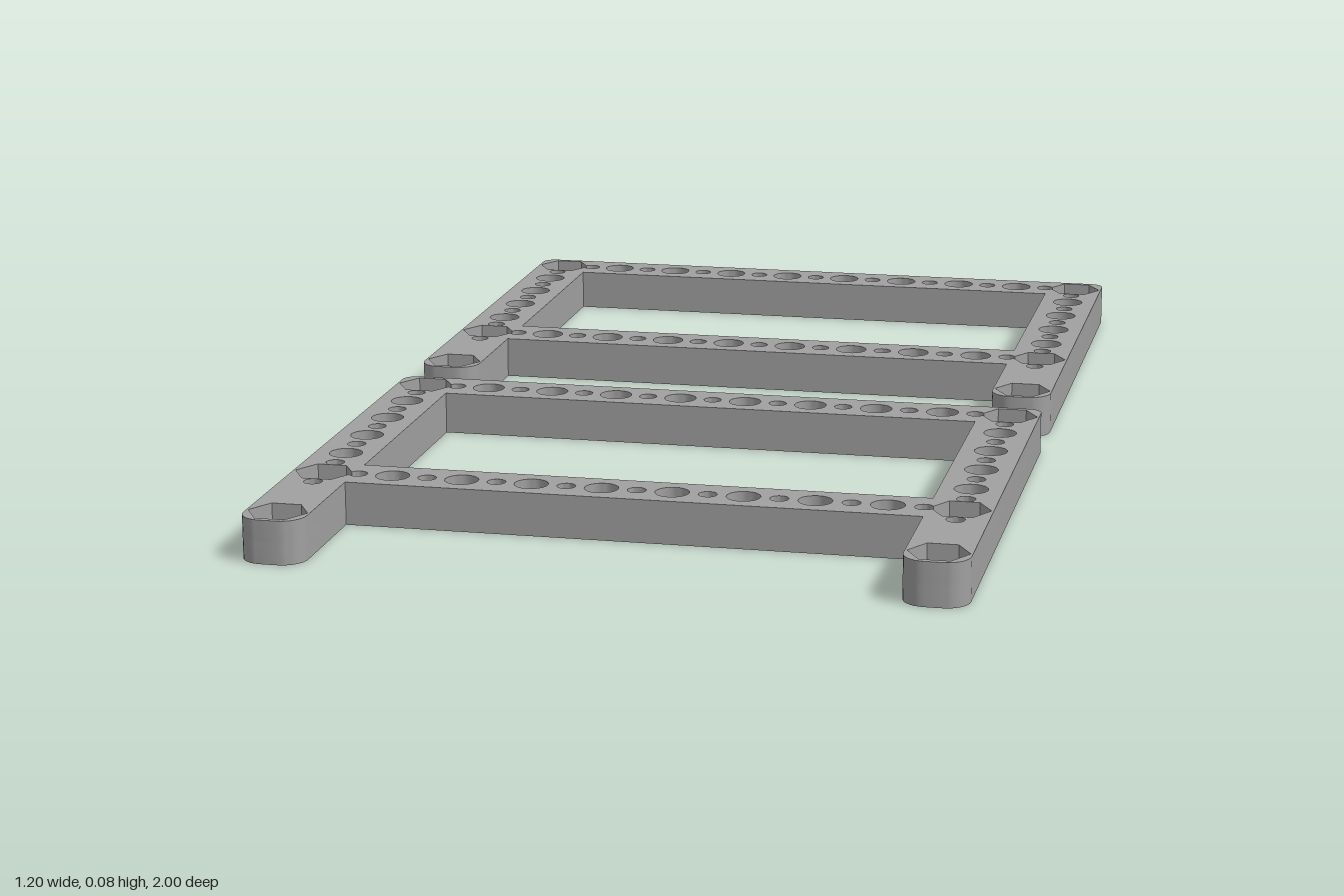
import * as THREE from 'three';
import { toCreasedNormals } from 'three/addons/utils/BufferGeometryUtils.js';

const S = 0.1215;            // hole pitch
const W = 0.0545;            // half width of a beam
const H = 0.075;             // plate height
const FLOOR = 0.038;         // height of the nut pocket floor
const BIG = 0.029, SMALL = 0.016, HEX = 0.051;
const X = 4.5 * S;           // side beam centre line
const Z0 = -1 + W;           // rear beam centre line
const row = (k) => Z0 + k * S;

// Closed polygon with rounded corners; each corner is [x, z, radius]
function roundedPath(corners) {
  const path = new THREE.Shape();
  const n = corners.length;
  corners.forEach(([x, z, r], i) => {
    const p = new THREE.Vector2(x, z);
    const step = (c) => new THREE.Vector2(c[0], c[1]).sub(p).setLength(r).add(p);
    const a = step(corners[(i + n - 1) % n]);
    const b = step(corners[(i + 1) % n]);
    if (i === 0) path.moveTo(a.x, a.y); else path.lineTo(a.x, a.y);
    if (r > 0) {
      // circular corner sampled around its centre
      const c = a.clone().add(b).sub(p);
      for (let k = 1; k <= 8; k++) {
        const t = (k / 8) * Math.PI / 2;
        path.lineTo(c.x + (a.x - c.x) * Math.cos(t) + (b.x - c.x) * Math.sin(t),
          c.y + (a.y - c.y) * Math.cos(t) + (b.y - c.y) * Math.sin(t));
      }
    }
  });
  path.closePath();
  return path;
}

function circle(x, z, r) {
  const path = new THREE.Path();
  path.absarc(x, z, r, 0, Math.PI * 2);
  return path;
}

// Hexagonal pocket; with a side it opens into the neighbouring small hole there
function pocket(x, z, side) {
  const dir = side || 1;
  const pts = [];
  for (let i = 1; i < 6; i++) {
    const a = i * Math.PI / 3;
    pts.push([HEX * Math.cos(a), HEX * Math.sin(a)]);
  }
  if (side) {
    // intersection of the hexagon edges with the small hole
    const c = S / 2, g = c - HEX;
    const t = (-2 * g + Math.sqrt(4 * g * g - 16 * (g * g - SMALL * SMALL))) / 8;
    const start = Math.atan2(-t * Math.sqrt(3), HEX - t - c);
    const sweep = -2 * start;
    for (let i = 0; i <= 20; i++) {
      const a = start + sweep * i / 20;
      pts.push([c + SMALL * Math.cos(a), SMALL * Math.sin(a)]);
    }
  } else pts.push([HEX, 0]);
  return new THREE.Path(pts.map(([px, pz]) => new THREE.Vector2(x + dir * px, z + pz)));
}

// One layer of the frame: the upper one has nut pockets, the lower one bolt holes
function layer(bottom, top, pockets) {
  const o = X + W, inner = X - W, end = row(7) + W, bar = row(5) + W, r = 0.025, R = 0.04;
  const shape = roundedPath([
    [-o, -1, r], [o, -1, r], [o, end, R], [inner, end, R], [inner, bar, 0],
    [-inner, bar, 0], [-inner, end, R], [-o, end, R],
  ]);
  const holes = shape.holes;
  holes.push(roundedPath([
    [-inner, row(0) + W, 0], [inner, row(0) + W, 0], [inner, row(5) - W, 0], [-inner, row(5) - W, 0],
  ]));
  // cross beams: alternating large and small holes
  for (const z of [row(0), row(5)]) {
    for (let i = -3.5; i <= 3.5; i++) holes.push(circle(i * S, z, BIG));
    const n = pockets ? 3 : 4;
    for (let i = -n; i <= n; i++) holes.push(circle(i * S, z, SMALL));
  }
  // side beams
  for (const x of [-X, X]) {
    for (let k = 1; k <= 4; k++) holes.push(circle(x, row(k), BIG));
    for (let k = 0.5; k <= 5.5; k++) holes.push(circle(x, row(k), SMALL));
    for (const k of [0, 5, 7]) {
      holes.push(pockets ? pocket(x, row(k), k === 7 ? 0 : -Math.sign(x)) : circle(x, row(k), BIG));
    }
  }
  const geo = new THREE.ExtrudeGeometry(shape, { depth: top - bottom, bevelEnabled: false, curveSegments: 12 });
  geo.rotateX(Math.PI / 2);
  geo.translate(0, top, 0);
  return toCreasedNormals(geo, 0.7);
}

export function createModel() {
  const model = new THREE.Group();
  model.name = 'bracketFrames';
  const gray = new THREE.MeshStandardMaterial({ color: 0xa0a0a0 });
  gray.name = 'gray';
  const lower = layer(0, FLOOR, false);
  const upper = layer(FLOOR, H, true);

  // two identical frames, one behind the other
  [['rearFrame', 0], ['frontFrame', 1 - (row(7) + W)]].forEach(([name, z]) => {
    const frame = new THREE.Group();
    frame.name = name;
    const base = new THREE.Mesh(lower, gray);
    base.name = 'boltHoleLayer';
    const cap = new THREE.Mesh(upper, gray);
    cap.name = 'nutPocketLayer';
    frame.add(base, cap);
    frame.position.z = z;
    model.add(frame);
  });
  return model;
}
